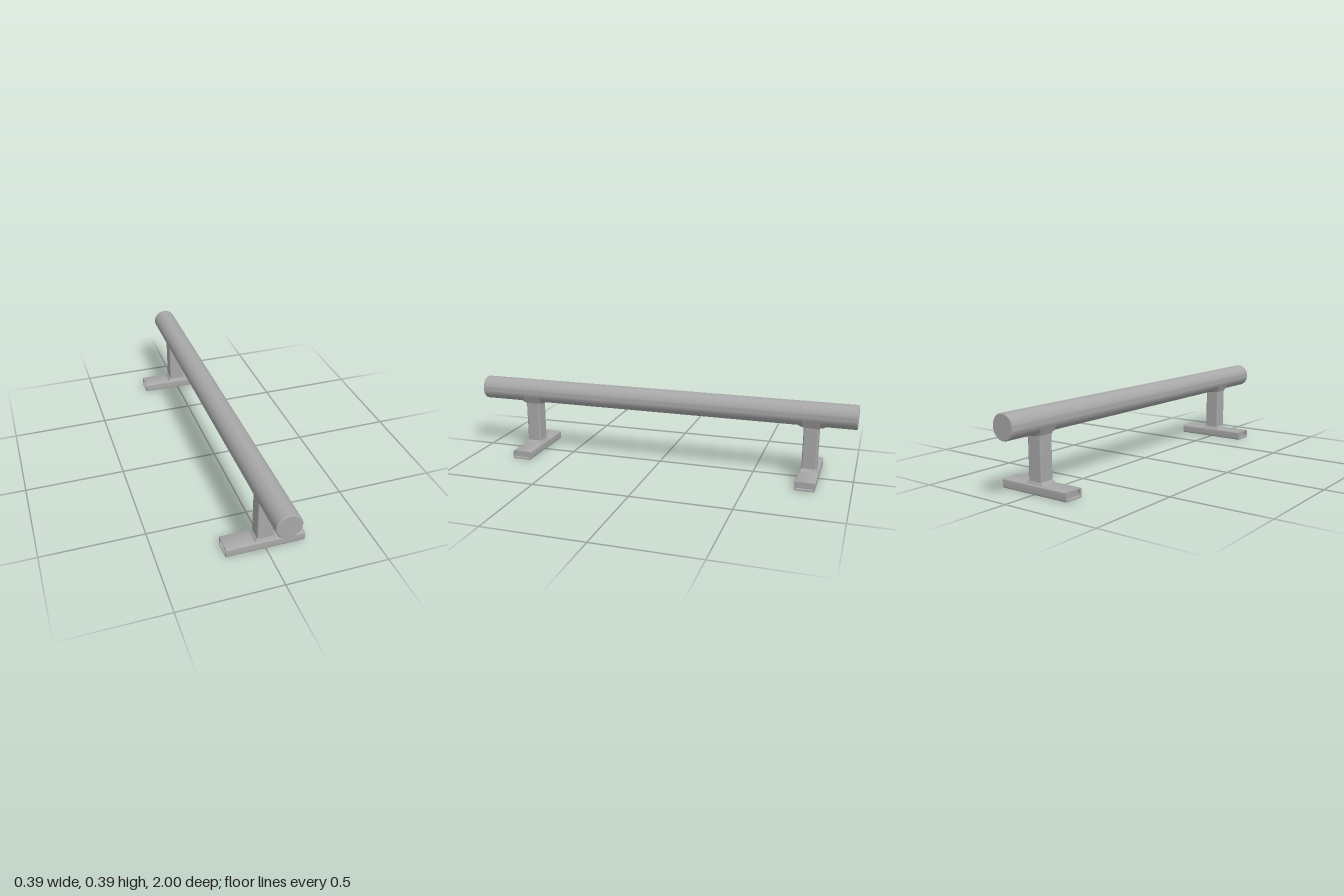
import * as THREE from 'three';
import { RoundedBoxGeometry } from 'three/addons/geometries/RoundedBoxGeometry.js';
import { toCreasedNormals } from 'three/addons/utils/BufferGeometryUtils.js';

const steel = new THREE.MeshStandardMaterial({ color: 0xa8a8a8 });
steel.name = 'grey steel';

function add(parent, name, geometry, x, y, z) {
  const mesh = new THREE.Mesh(geometry, steel);
  mesh.name = name;
  mesh.position.set(x, y, z);
  parent.add(mesh);
  return mesh;
}

// Rounded rectangle centred on the origin, as a Shape or a hole Path
function roundedRect(target, w, h, r) {
  const x = w / 2, y = h / 2;
  target.moveTo(-x + r, -y).lineTo(x - r, -y).quadraticCurveTo(x, -y, x, -y + r);
  target.lineTo(x, y - r).quadraticCurveTo(x, y, x - r, y);
  target.lineTo(-x + r, y).quadraticCurveTo(-x, y, -x, y - r);
  target.lineTo(-x, -y + r).quadraticCurveTo(-x, -y, -x + r, -y);
  return target;
}

// Tapered block used for weld beads, given half widths at bottom and top
function taper([bx, bz], [tx, tz], h) {
  const geometry = new THREE.BoxGeometry(2, h, 2);
  const p = geometry.attributes.position;
  for (let i = 0; i < p.count; i++) {
    const top = p.getY(i) > 0;
    p.setX(i, p.getX(i) * (top ? tx : bx));
    p.setZ(i, p.getZ(i) * (top ? tz : bz));
  }
  geometry.computeVertexNormals();
  return geometry;
}

// Hollow rectangular foot running along x
function footGeometry(length) {
  const shape = roundedRect(new THREE.Shape(), 0.1, 0.045, 0.008);
  shape.holes.push(roundedRect(new THREE.Path(), 0.084, 0.031, 0.005));
  const geometry = new THREE.ExtrudeGeometry(shape, { depth: length, bevelEnabled: false, curveSegments: 4 });
  geometry.translate(0, 0, -length / 2).rotateY(Math.PI / 2);
  return toCreasedNormals(geometry, 0.6);
}

function createStand(name, z) {
  const stand = new THREE.Group();
  stand.name = name;
  stand.position.z = z;
  add(stand, 'foot', footGeometry(0.386), -0.001, 0.0235, 0);
  add(stand, 'footPlug', new THREE.BoxGeometry(0.35, 0.033, 0.086), -0.001, 0.0235, 0);
  add(stand, 'post', new RoundedBoxGeometry(0.079, 0.27, 0.074, 2, 0.008), 0, 0.17, 0);
  add(stand, 'baseWeld', taper([0.053, 0.044], [0.039, 0.036], 0.016), 0, 0.053, 0);
  // Saddle weld: a flare up the sides of the rail, and a thin bead along its underside
  add(stand, 'saddleWeld', taper([0.038, 0.036], [0.057, 0.05], 0.045), 0, 0.2895, 0);
  add(stand, 'railBead', taper([0.02, 0.055], [0.034, 0.075], 0.018), 0, 0.278, 0);
  return stand;
}

export function createModel() {
  const model = new THREE.Group();
  model.name = 'grindRail';

  // Round rail, with a slight rounding at both ends
  const r = 0.0605, e = 0.004;
  const profile = [[0, -1], [r - e, -1], [r, -1 + e], [r, 1 - e], [r - e, 1], [0, 1]]
    .map(([x, y]) => new THREE.Vector2(x, y));
  const railGeometry = toCreasedNormals(new THREE.LatheGeometry(profile, 48).rotateX(Math.PI / 2), 0.5);
  add(model, 'rail', railGeometry, -0.001, 0.334, 0);

  model.add(createStand('frontStand', 0.715), createStand('backStand', -0.782));
  return model;
}
